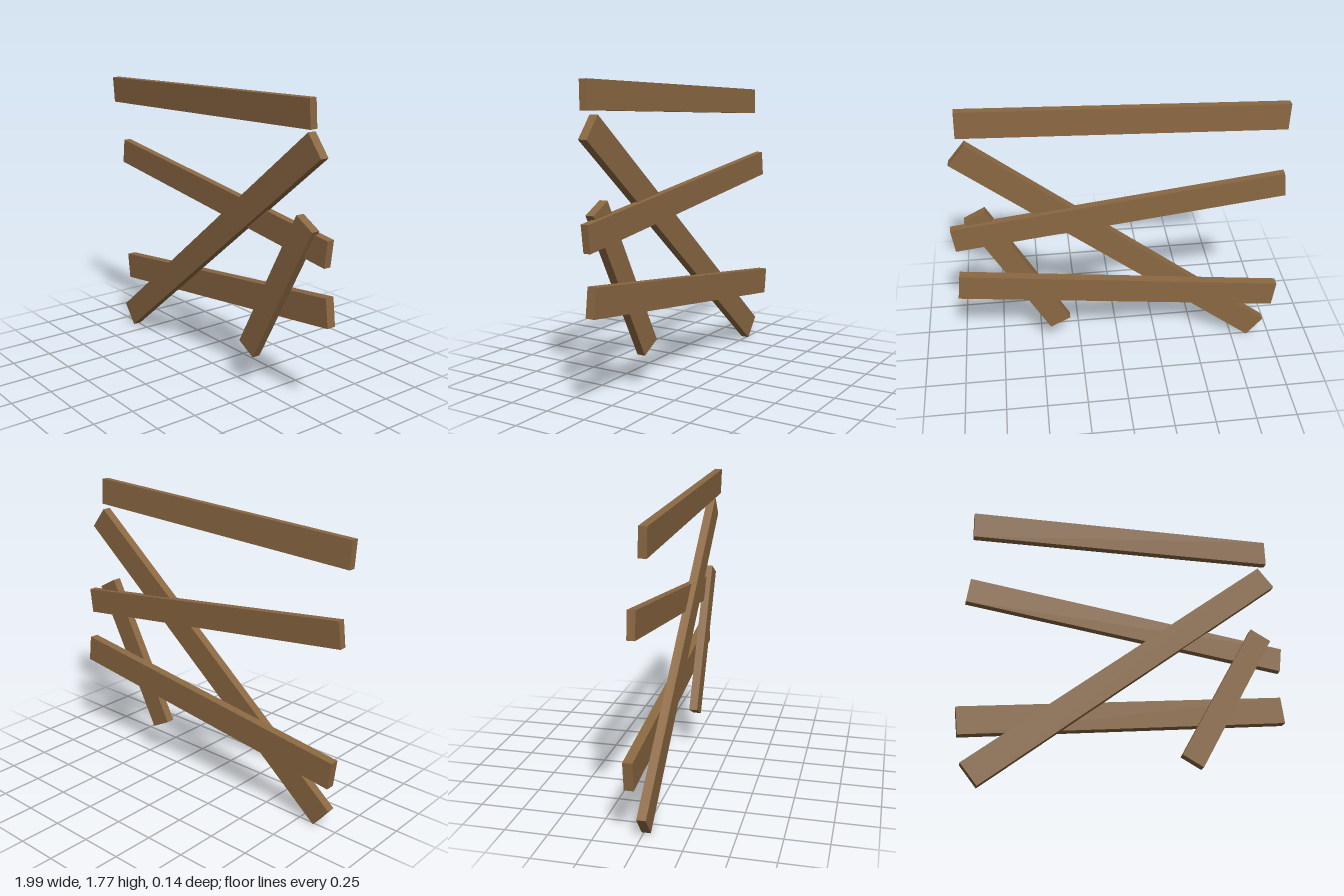
import * as THREE from 'three';

export function createModel() {
  const group = new THREE.Group();
  const wood = new THREE.MeshStandardMaterial({ color: 0x8b6842 });
  wood.name = 'brown wood';

  // One board: centre, size, slope in degrees and a slight forward tilt
  function addPlank(name, [x, y, z], [length, width, depth], slope, tilt = 0) {
    const geometry = new THREE.BoxGeometry(length, width, depth);
    geometry.rotateX(tilt);
    geometry.rotateZ(THREE.MathUtils.degToRad(slope));
    const plank = new THREE.Mesh(geometry, wood);
    plank.name = name;
    plank.position.set(x, y, z);
    group.add(plank);
  }

  // Crosswise boards
  addPlank('topPlank', [-0.04, 1.665, 0.047], [1.885, 0.16, 0.046], 2.1, 0.04);
  addPlank('middlePlank', [0, 1.09, -0.017], [1.98, 0.155, 0.045], -7.1);
  addPlank('lowerPlank', [-0.003, 0.515, -0.044], [1.985, 0.167, 0.055], 7.1);

  // Boards nailed across the front
  addPlank('diagonalPlank', [0.002, 0.802, 0.013], [2.33, 0.16, 0.053], 39);
  addPlank('shortPlank', [0.612, 0.678, 0.012], [0.985, 0.142, 0.052], 61.6);

  return group;
}
